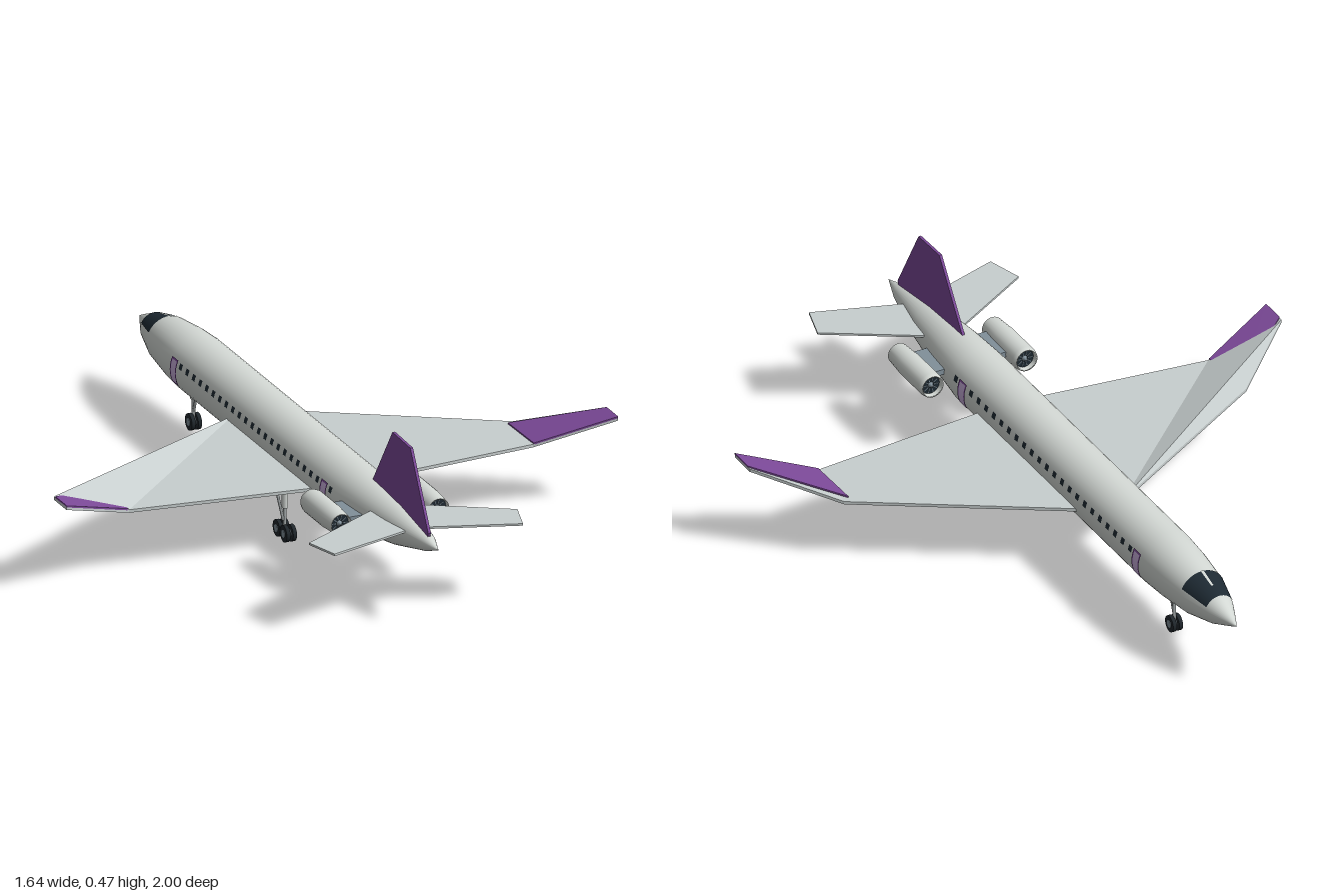
import * as THREE from 'three';

const mat = (name, color, double) => {
  const m = new THREE.MeshStandardMaterial({ color });
  m.name = name;
  if (double) m.side = THREE.DoubleSide;
  return m;
};

export function createModel() {
  const M = {
    body: mat('bodyGrey', 0xd3d8d4),
    wing: mat('wingGrey', 0xc8cfcf),
    purple: mat('purple', 0x7d4a9a),
    lilac: mat('lilac', 0xc9b0dc),
    glass: mat('darkGlass', 0x1e2a33),
    tyre: mat('tyreBlack', 0x20272c),
    steel: mat('steelBlue', 0x81909a),
    strut: mat('strutGrey', 0xa9afb0),
  };
  const root = new THREE.Group();
  root.name = 'airliner';
  const add = (name, geo, material, pos = [0, 0, 0], parent = root) => {
    const m = new THREE.Mesh(geo, material);
    m.name = name;
    m.position.set(...pos);
    parent.add(m);
    return m;
  };
  const CY = 0.205, R = 0.085;

  // Flat-faced plate: top outline points, triangles over them, vertical edges
  const slab = (pts, tris, t) => {
    const v = [];
    const low = pts.map(([x, y, z]) => [x, y - t, z]);
    const area = pts.reduce((s, p, i) => {
      const q = pts[(i + 1) % pts.length];
      return s + p[2] * q[0] - q[2] * p[0];
    }, 0);
    for (const [a, b, c] of tris) {
      const [p, q, r] = area > 0 ? [a, b, c] : [a, c, b];
      v.push(...pts[p], ...pts[q], ...pts[r], ...low[p], ...low[r], ...low[q]);
    }
    pts.forEach((_, k) => {
      const n = (k + 1) % pts.length;
      const [i, j] = area > 0 ? [k, n] : [n, k];
      v.push(...low[i], ...low[j], ...pts[j], ...low[i], ...pts[j], ...pts[i]);
    });
    const g = new THREE.BufferGeometry();
    g.setAttribute('position', new THREE.Float32BufferAttribute(v, 3));
    g.computeVertexNormals();
    return g;
  };

  // Curved skin patch on the hull; angle 0 is +x, rising towards the top
  const patch = (z0, z1, a0, a1, r0, r1 = r0) => {
    const n = Math.max(2, Math.ceil((a1 - a0) * 6));
    const g = new THREE.CylinderGeometry(r1, r0, z1 - z0, n, 1, true, Math.PI / 2 + a0, a1 - a0);
    return g.rotateX(Math.PI / 2).translate(0, CY, (z0 + z1) / 2);
  };
  const sidePatch = (s, z0, z1, a0, a1, r) =>
    s > 0 ? patch(z0, z1, a0, a1, r) : patch(z0, z1, Math.PI - a1, Math.PI - a0, r);

  // Rod between two points
  const rod = (name, a, b, r, material, parent) => {
    const A = new THREE.Vector3(...a), B = new THREE.Vector3(...b);
    const d = B.clone().sub(A);
    const m = add(name, new THREE.CylinderGeometry(r, r, d.length(), 10), material,
      A.clone().add(B).multiplyScalar(0.5).toArray(), parent);
    m.quaternion.setFromUnitVectors(new THREE.Vector3(0, 1, 0), d.normalize());
  };

  // Fuselage, with the tail cone swept upward
  const profile = [[0, -1], [0.014, -0.97], [0.043, -0.9], [0.068, -0.8], [0.08, -0.69], [R, -0.6],
    [R, 0.1], [R, 0.48], [0.075, 0.61], [0.057, 0.76], [0.023, 0.93], [0, 1]];
  const hull = new THREE.LatheGeometry(profile.map(p => new THREE.Vector2(...p)), 36);
  hull.rotateX(Math.PI / 2);
  const hp = hull.attributes.position;
  for (let i = 0; i < hp.count; i++) {
    hp.setY(i, hp.getY(i) + CY + Math.max(0, hp.getZ(i) - 0.48) * 0.055);
  }
  add('fuselage', hull, M.body);

  // Windscreen and centre post
  add('windscreen', patch(-0.9, -0.8, 0.45, Math.PI - 0.45, 0.0445, 0.0695), M.glass);
  add('windscreenPost', patch(-0.86, -0.8, Math.PI / 2 - 0.06, Math.PI / 2 + 0.06, 0.056, 0.071), M.body);

  for (const s of [1, -1]) {
    // Cabin windows
    for (let i = 0; i < 24; i++) {
      const z = 0.46 - i * 0.0435;
      add('cabinWindow', sidePatch(s, z - 0.009, z + 0.009, 0.2, 0.4, R + 0.0012), M.glass);
    }
    // Doors: lilac panel in a purple frame
    for (const z of [0.42, -0.58]) {
      const r = R + 0.0035;
      add('door', sidePatch(s, z - 0.018, z + 0.018, -0.42, 0.42, R + 0.0025), M.lilac);
      for (const e of [-1, 1]) {
        const zc = z + e * 0.017, ac = e * 0.4;
        add('doorFrameSide', sidePatch(s, zc - 0.003, zc + 0.003, -0.43, 0.43, r), M.purple);
        add('doorFrameEnd', sidePatch(s, z - 0.02, z + 0.02, ac - 0.03, ac + 0.03, r), M.purple);
      }
    }

    // Wing: the right one folds along a different diagonal
    const side = ([x, y, z]) => [s * x, y, z];
    const wing = [[0.06, 0.19, -0.245], [0.62, 0.19, 0.1], [0.82, 0.26, 0.27],
      [0.82, 0.26, 0.355], [0.6, 0.19, 0.28], [0.06, 0.19, 0.337]].map(side);
    const folds = s > 0 ? [[0, 4, 1], [0, 5, 4], [1, 3, 2], [1, 4, 3]]
      : [[0, 2, 1], [0, 4, 2], [2, 4, 3], [0, 5, 4]];
    const flip = t => t.map(([a, b, c]) => [a, c, b]);
    add('wing', slab(wing, flip(folds), 0.009), M.wing);
    const tip = [[0.6, 0.194, 0.113], [0.82, 0.264, 0.28], [0.82, 0.264, 0.357], [0.603, 0.194, 0.281]];
    add('wingTipPanel', slab(tip.map(side), [[0, 1, 2], [0, 2, 3]], 0.005), M.purple);

    // Tailplane
    const tail = [[0.02, 0.244, 0.66], [0.07, 0.244, 0.685], [0.31, 0.244, 0.83],
      [0.28, 0.244, 0.935], [0.01, 0.244, 0.845]];
    add('tailplane', slab(tail.map(side), [[0, 1, 2], [0, 2, 3], [0, 3, 4]], 0.006), M.wing);

    // Rear engine with pylon, fan and exhaust
    const engine = new THREE.Group();
    engine.name = 'engine';
    engine.position.set(s * 0.145, 0.215, 0.575);
    root.add(engine);
    const shell = [[0.027, -0.08], [0.029, -0.098], [0.033, -0.1], [0.036, -0.085], [0.036, 0.03],
      [0.031, 0.1], [0.028, 0.1], [0.027, 0.08]];
    const ng = new THREE.LatheGeometry(shell.map(p => new THREE.Vector2(...p)), 24);
    add('nacelle', ng.rotateX(Math.PI / 2), M.body, [0, 0, 0], engine);
    const core = new THREE.CylinderGeometry(0.0285, 0.0285, 0.172, 24).rotateX(Math.PI / 2);
    add('engineCore', core, M.glass, [0, 0, 0], engine);
    for (const e of [-1, 1]) {
      const cone = new THREE.ConeGeometry(0.009, 0.018, 12).rotateX(e * Math.PI / 2);
      add('engineHub', cone, M.steel, [0, 0, e * 0.094], engine);
      for (let k = 0; k < 10; k++) {
        const blade = new THREE.BoxGeometry(0.014, 0.002, 0.002).translate(0.017, 0, 0);
        add('fanBlade', blade.rotateZ(k * Math.PI / 5), M.steel, [0, 0, e * 0.087], engine);
      }
    }
    add('enginePylon', new THREE.BoxGeometry(0.06, 0.016, 0.12), M.steel, [s * 0.09, 0.215, 0.59]);
  }

  // Tail fin
  const finShape = new THREE.Shape([[-0.56, 0.27], [-0.57, 0.29], [-0.7, 0.472], [-0.82, 0.468],
    [-0.94, 0.262], [-0.93, 0.235]].map(p => new THREE.Vector2(...p)));
  const fin = new THREE.ExtrudeGeometry(finShape, { depth: 0.008, bevelEnabled: false });
  add('tailFin', fin.translate(0, 0, -0.004).rotateY(Math.PI / 2), M.purple);

  // Landing gear
  const wheel = (x, z, parent) => {
    const tyre = new THREE.CylinderGeometry(0.024, 0.024, 0.011, 20).rotateZ(Math.PI / 2);
    add('tyre', tyre, M.tyre, [x, 0.024, z], parent);
    const hub = new THREE.CylinderGeometry(0.011, 0.011, 0.014, 14).rotateZ(Math.PI / 2);
    add('wheelHub', hub, M.steel, [x, 0.024, z], parent);
  };
  const gear = (name, x, z, top, axles) => {
    const g = new THREE.Group();
    g.name = name;
    root.add(g);
    for (const dz of axles) {
      for (const e of [-1, 1]) wheel(x + e * 0.0095, z + dz, g);
      rod('axle', [x - 0.012, 0.024, z + dz], [x + 0.012, 0.024, z + dz], 0.004, M.strut, g);
    }
    rod('lowerStrut', [x, 0.024, z], [x, 0.11, z], 0.005, M.strut, g);
    rod('upperStrut', [x, 0.09, z], [x, top, z], 0.009, M.body, g);
    return g;
  };
  const nose = gear('noseGear', 0, -0.64, 0.14, [0]);
  rod('dragBrace', [0, 0.05, -0.64], [0, 0.135, -0.61], 0.004, M.strut, nose);
  for (const s of [1, -1]) {
    const g = gear('mainGear', s * 0.103, 0.203, 0.187, [-0.024, 0.024]);
    rod('bogieBeam', [s * 0.103, 0.026, 0.179], [s * 0.103, 0.026, 0.227], 0.005, M.strut, g);
    rod('sideBrace', [s * 0.108, 0.055, 0.203], [s * 0.137, 0.187, 0.203], 0.004, M.strut, g);
  }
  return root;
}
